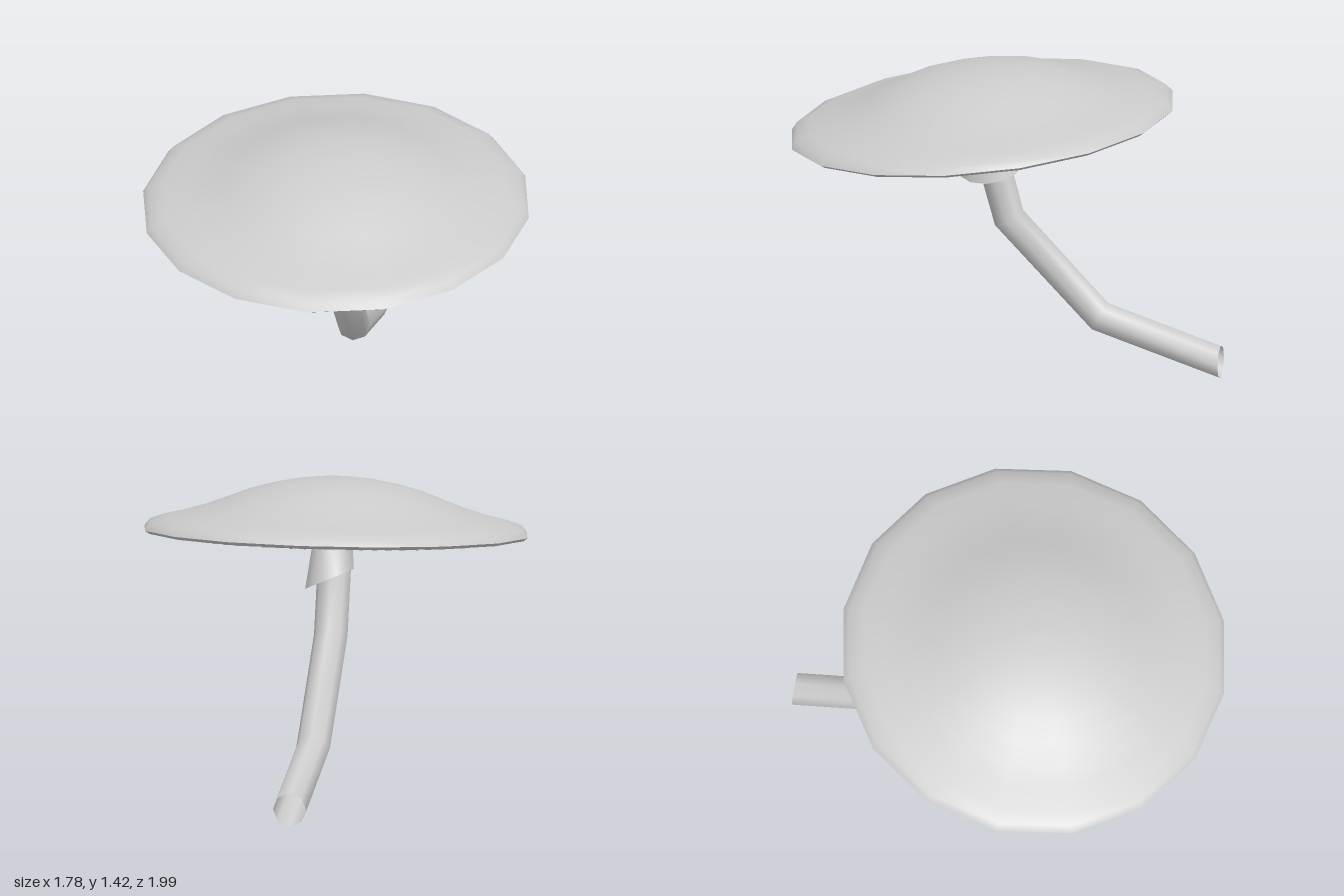
import * as THREE from 'three';

const material = new THREE.MeshStandardMaterial({ color: 0xcccccc, side: THREE.DoubleSide });

function add(parent, name, geometry, mat = material) {
  const mesh = new THREE.Mesh(geometry, mat);
  mesh.name = name;
  parent.add(mesh);
  return mesh;
}

// Skin a surface through rings that all have the same number of points
function loft(rings) {
  const n = rings[0].length, index = [];
  for (let i = 0; i < rings.length - 1; i++) {
    for (let j = 0; j < n; j++) {
      const a = i * n + j, b = i * n + (j + 1) % n;
      index.push(a, b, a + n, b, b + n, a + n);
    }
  }
  const geometry = new THREE.BufferGeometry();
  geometry.setAttribute('position', new THREE.Float32BufferAttribute(rings.flat(2), 3));
  geometry.setIndex(index);
  geometry.computeVertexNormals();
  return geometry;
}

function ring(n, point) {
  return Array.from({ length: n }, (_, i) => point((i / n) * Math.PI * 2, i));
}

export function createModel() {
  const model = new THREE.Group();

  // Cap and gills share one forward tilt
  const head = new THREE.Group();
  head.name = 'head';
  head.position.set(0, 1.167, 0.11);
  head.rotation.x = 0.108;
  model.add(head);

  // Sixteen-sided cap with a thin rim and a shallow hollow below
  const lathe = (points) => new THREE.LatheGeometry(points.map(([r, y]) => new THREE.Vector2(r, y)), 16);
  add(head, 'cap', lathe([
    [0.89, 0], [0.865, 0.032], [0.8, 0.056], [0.7, 0.08], [0.6, 0.11], [0.5, 0.148],
    [0.4, 0.187], [0.3, 0.216], [0.2, 0.236], [0.1, 0.248], [0, 0.251],
  ]));
  add(head, 'capUnderside', lathe([
    [0, 0.03], [0.3, 0.03], [0.6, 0.015], [0.74, -0.002], [0.83, -0.016], [0.87, -0.014], [0.89, 0],
  ]));

  // Pleated gills: ridges hang lower and reach further out than the valleys
  const pleats = 144;
  const gillRing = (r, low, high, reach) => ring(pleats, (a, i) => {
    const ridge = i % 2 === 0;
    const radius = r + (ridge ? reach : 0);
    return [radius * Math.sin(a), ridge ? low : high, radius * Math.cos(a)];
  });
  const gillMaterial = material.clone();
  gillMaterial.flatShading = true;
  add(head, 'gills', loft([
    gillRing(0.05, -0.036, -0.02, 0),
    gillRing(0.42, -0.044, -0.01, 0),
    gillRing(0.68, -0.024, 0.006, 0.1),
  ]), gillMaterial);

  // Bent eight-sided stem: centre [y, z] and half-width [dy, dz] of each mitred ring
  const stemRings = [
    [0.08, -1, 0.077, 0],
    [0.265, -0.438, 0.065, -0.038],
    [0.71, -0.015, 0.04, -0.066],
    [1.16, 0.108, 0.02, -0.075],
  ].map(([y, z, dy, dz]) => ring(8, (a) => [
    0.078 * Math.sin(a), y + dy * Math.cos(a), z + dz * Math.cos(a),
  ]));
  add(model, 'stem', loft(stemRings));

  // Flared skirt around the stem top, its hem slanting down to the left
  const hem = ring(12, (a) => {
    const x = 0.113 * Math.cos(a), z = 0.148 * Math.sin(a);
    return [0.022 + x, 0.955 - 0.44 * x - 0.1 * z, 0.067 + z];
  });
  const neck = ring(12, (a) => [0.012 + 0.09 * Math.cos(a), 1.14, 0.1 + 0.09 * Math.sin(a)]);
  add(model, 'skirt', loft([neck, hem]));

  return model;
}
